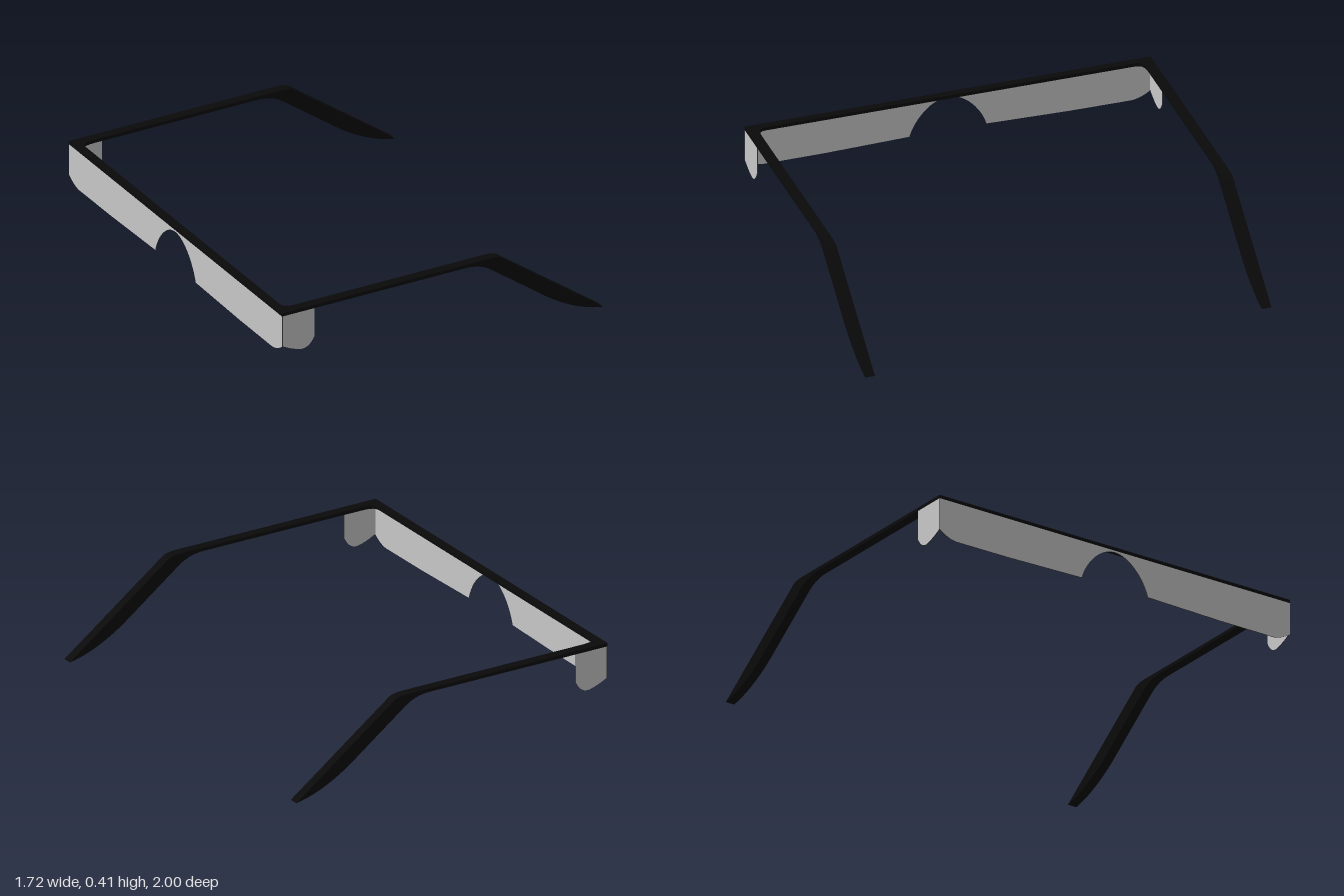
import * as THREE from 'three';

const TOP = 0.41, UNDER = 0.393, THICK = 0.005;

export function createModel() {
  const black = new THREE.MeshStandardMaterial({ color: 0x0a0a0a });
  black.name = 'black frame';
  const lensGrey = new THREE.MeshStandardMaterial({ color: 0xc8c8c8 });
  lensGrey.name = 'lens grey';
  const edgeGrey = new THREE.MeshStandardMaterial({ color: 0x444444 });
  edgeGrey.name = 'lens edge grey';

  const group = new THREE.Group();
  group.name = 'glasses';
  const extrude = (shape, depth) =>
    new THREE.ExtrudeGeometry(shape, { depth, bevelEnabled: false, curveSegments: 12 });
  const add = (name, geometry, material) => {
    const mesh = new THREE.Mesh(geometry, material);
    mesh.name = name;
    group.add(mesh);
    return mesh;
  };

  // Brow bar and straight temples, one flat U with filleted inner corners
  const plan = new THREE.Shape();
  plan.moveTo(-0.86, -1);
  plan.lineTo(0.12, -1);
  plan.lineTo(0.12, -0.952);
  plan.lineTo(-0.75, -0.952);
  plan.bezierCurveTo(-0.81, -0.95, -0.822, -0.94, -0.822, -0.9);
  plan.lineTo(-0.822, 0.9);
  plan.bezierCurveTo(-0.822, 0.94, -0.81, 0.95, -0.75, 0.952);
  plan.lineTo(0.12, 0.952);
  plan.lineTo(0.12, 1);
  plan.lineTo(-0.86, 1);
  plan.closePath();
  const bar = extrude(plan, TOP - UNDER);
  bar.rotateX(-Math.PI / 2);
  add('frame', bar, black).position.y = UNDER;

  // Bent ear pieces
  const ear = new THREE.Shape();
  ear.moveTo(0.12, UNDER);
  ear.bezierCurveTo(0.18, 0.393, 0.22, 0.378, 0.26, 0.35);
  ear.lineTo(0.55, 0.138);
  ear.bezierCurveTo(0.63, 0.08, 0.74, 0.02, 0.86, 0);
  ear.lineTo(0.315, 0.397);
  ear.quadraticCurveTo(0.295, 0.41, 0.24, TOP);
  ear.lineTo(0.12, TOP);
  ear.closePath();

  // Side shields, rounded at the back lower corner
  const shield = new THREE.Shape();
  shield.moveTo(-0.855, UNDER);
  shield.lineTo(-0.855, 0.235);
  shield.quadraticCurveTo(-0.8, 0.205, -0.755, 0.197);
  shield.bezierCurveTo(-0.72, 0.195, -0.7, 0.22, -0.685, 0.25);
  shield.lineTo(-0.685, UNDER);
  shield.closePath();

  for (const [side, s] of [['left', 1], ['right', -1]]) {
    add(side + 'EarPiece', extrude(ear, 0.048), black).position.z = s > 0 ? 0.952 : -1;
    add(side + 'SideShield', extrude(shield, THICK), [lensGrey, edgeGrey])
      .position.z = s > 0 ? 1 - THICK : -1;
  }

  // One-piece lens with a nose arch
  const lens = new THREE.Shape();
  lens.moveTo(-1, UNDER);
  lens.lineTo(-1, 0.235);
  lens.quadraticCurveTo(-0.95, 0.197, -0.9, 0.195);
  lens.lineTo(-0.6, 0.196);
  lens.lineTo(-0.19, 0.205);
  lens.bezierCurveTo(-0.165, 0.29, -0.085, 0.385, 0, 0.385);
  lens.bezierCurveTo(0.085, 0.385, 0.165, 0.29, 0.19, 0.205);
  lens.lineTo(0.6, 0.196);
  lens.lineTo(0.9, 0.195);
  lens.quadraticCurveTo(0.95, 0.197, 1, 0.235);
  lens.lineTo(1, UNDER);
  lens.closePath();
  const lensGeometry = extrude(lens, THICK);
  lensGeometry.rotateY(-Math.PI / 2);
  add('lens', lensGeometry, [lensGrey, edgeGrey]).position.x = -0.86 + THICK;

  return group;
}
